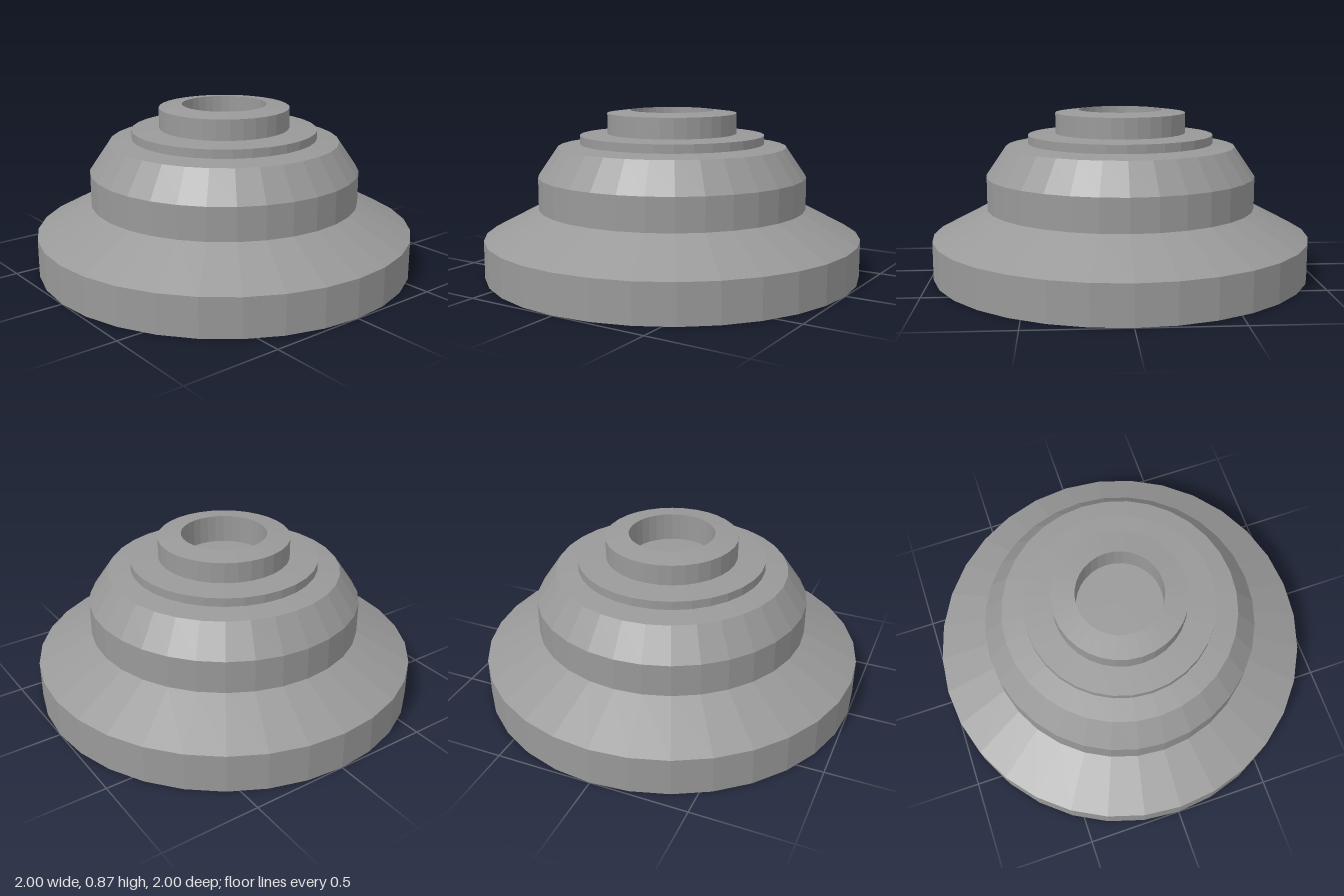
import * as THREE from 'three';

const SIDES = 32;

export function createModel() {
  const model = new THREE.Group();
  model.name = 'steppedRoundBase';
  const material = new THREE.MeshStandardMaterial({ color: 0x999999, flatShading: true });

  // Each part turns a stretch of the outline [radius, height], from bottom to top
  const addTurned = (name, outline) => {
    const points = outline.map(([r, y]) => new THREE.Vector2(r, y));
    const mesh = new THREE.Mesh(new THREE.LatheGeometry(points, SIDES), material);
    mesh.name = name;
    model.add(mesh);
  };

  // Wide foot with closed underside and sloping top
  addTurned('foot', [[0, 0], [1, 0], [1, 0.2], [0.713, 0.35]]);
  // Upright drum with bevelled shoulder
  addTurned('drum', [[0.713, 0.35], [0.713, 0.52], [0.607, 0.675], [0.49, 0.69]]);
  // Thin step
  addTurned('step', [[0.49, 0.69], [0.49, 0.735], [0.344, 0.743]]);
  // Raised collar with a blind hole
  addTurned('collar', [[0.344, 0.743], [0.344, 0.85], [0.223, 0.865]]);
  addTurned('socket', [[0.223, 0.865], [0.223, 0.72], [0, 0.72]]);

  return model;
}
